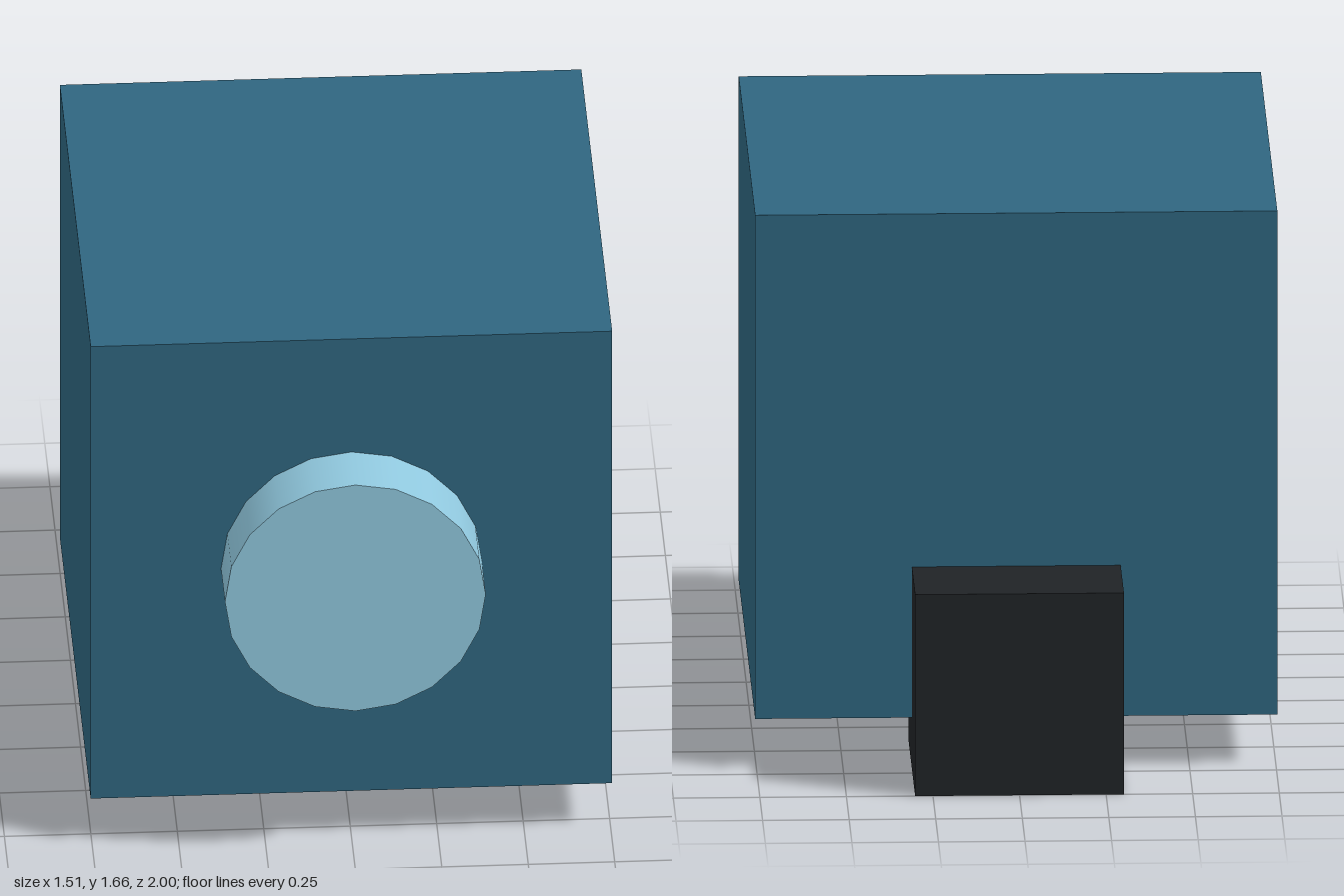
import * as THREE from 'three';

function addPart(group, name, geometry, color, x, y, z) {
  const mesh = new THREE.Mesh(geometry, new THREE.MeshStandardMaterial({ color }));
  mesh.name = name;
  mesh.position.set(x, y, z);
  group.add(mesh);
  return mesh;
}

export function createModel() {
  const model = new THREE.Group();
  model.name = 'cubeWithKnob';

  const side = 1.508; // body cube
  const foot = 0.603; // rear block cube
  const bodyY = 0.906;

  // Main cube
  addPart(model, 'body', new THREE.BoxGeometry(side, side, side), 0x2f6680, 0, bodyY, 0.055);

  // Round disc on the front, half sunk into the body
  const disc = new THREE.CylinderGeometry(0.377, 0.377, 0.377, 20);
  disc.rotateX(Math.PI / 2);
  addPart(model, 'frontDisc', disc, 0x90c8de, 0, bodyY, 1 - 0.377 / 2);

  // Dark block straddling the lower rear edge
  addPart(model, 'rearBlock', new THREE.BoxGeometry(foot, foot, foot), 0x202326, 0, foot / 2, -1 + foot / 2);

  return model;
}
